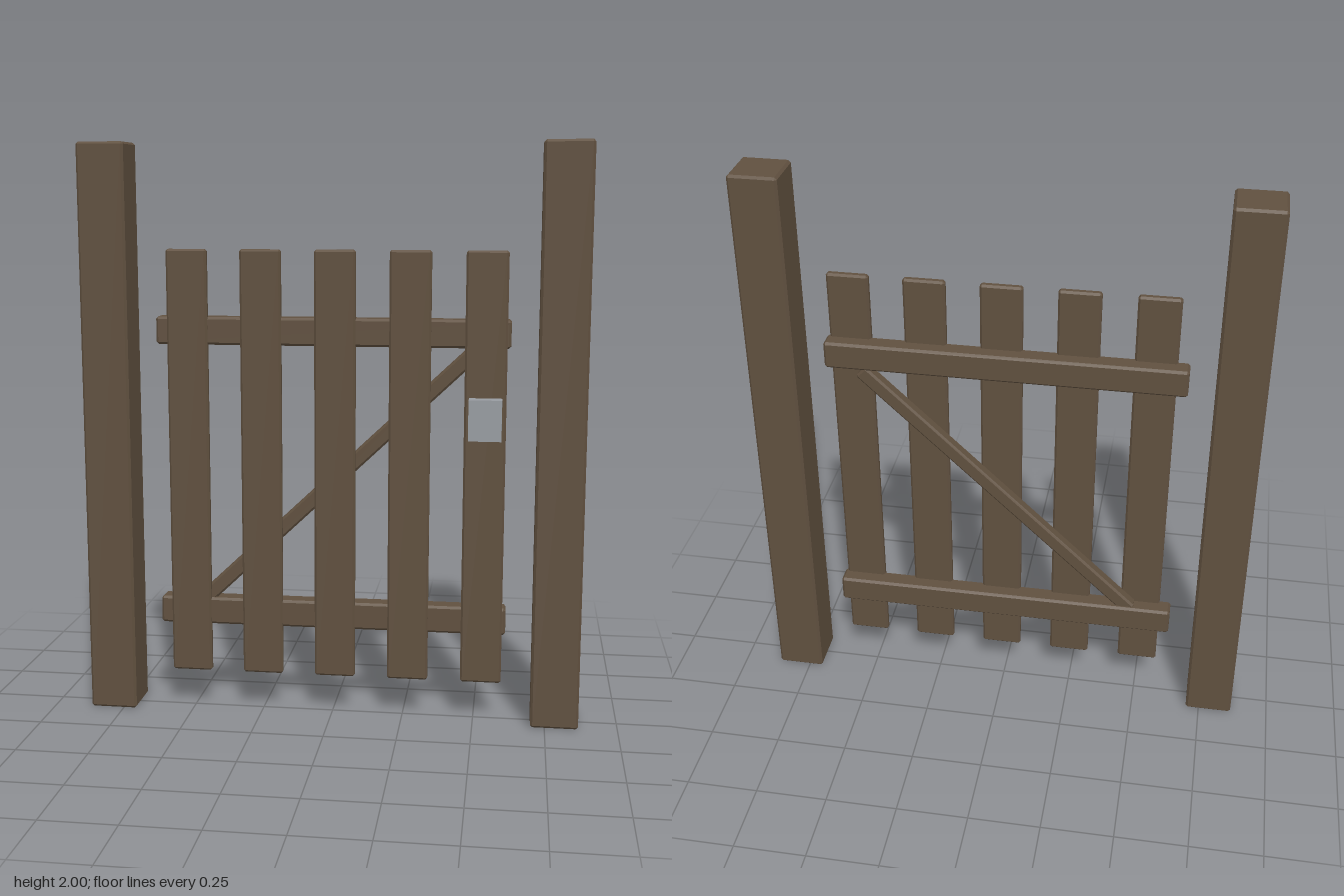
import * as THREE from 'three';
import { ConvexGeometry } from 'three/addons/geometries/ConvexGeometry.js';

const wood = new THREE.MeshStandardMaterial({ color: 0x60503f, flatShading: true });
const metal = new THREE.MeshStandardMaterial({ color: 0x989ca1, flatShading: true });

// Box with every edge chamfered by c: the hull of three corner points per corner
function chamferedBox(w, h, d, c) {
  const points = [];
  for (const x of [-1, 1]) for (const y of [-1, 1]) for (const z of [-1, 1]) {
    const [X, Y, Z] = [x * w / 2, y * h / 2, z * d / 2];
    points.push(
      new THREE.Vector3(X, Y - y * c, Z - z * c),
      new THREE.Vector3(X - x * c, Y, Z - z * c),
      new THREE.Vector3(X - x * c, Y - y * c, Z));
  }
  return new ConvexGeometry(points);
}

export function createModel() {
  const model = new THREE.Group();
  model.name = 'gateWithPosts';

  function add(parent, name, geometry, material, x, y, z) {
    const mesh = new THREE.Mesh(geometry, material);
    mesh.name = name;
    mesh.position.set(x, y, z);
    parent.add(mesh);
    return mesh;
  }

  // Square posts on both sides
  const postGeometry = chamferedBox(0.165, 2, 0.165, 0.008);
  add(model, 'rightPost', postGeometry, wood, -0.785, 1, -0.004);
  add(model, 'leftPost', postGeometry, wood, 0.783, 1, -0.004);

  const gate = new THREE.Group();
  gate.name = 'gate';
  model.add(gate);

  // Upright pickets in front
  const picketGeometry = chamferedBox(0.142, 1.5, 0.028, 0.007);
  for (let i = 0; i < 5; i++) {
    add(gate, `picket${i + 1}`, picketGeometry, wood, -0.503 + i * 0.257, 0.89, 0.021);
  }

  // Horizontal rails behind the pickets
  const railGeometry = chamferedBox(1.222, 0.096, 0.07, 0.008);
  add(gate, 'lowerRail', railGeometry, wood, -0.003, 0.36, -0.008);
  add(gate, 'upperRail', railGeometry, wood, -0.003, 1.36, -0.008);

  // Diagonal brace between the rails
  const brace = add(gate, 'brace', chamferedBox(1.32, 0.052, 0.045, 0.007), wood, 0.01, 0.845, -0.008);
  brace.rotation.z = Math.atan(0.95);

  // Plain latch plate on the left-hand picket
  add(gate, 'latch', new THREE.BoxGeometry(0.112, 0.14, 0.058), metal, 0.526, 1.075, 0.057);

  return model;
}
